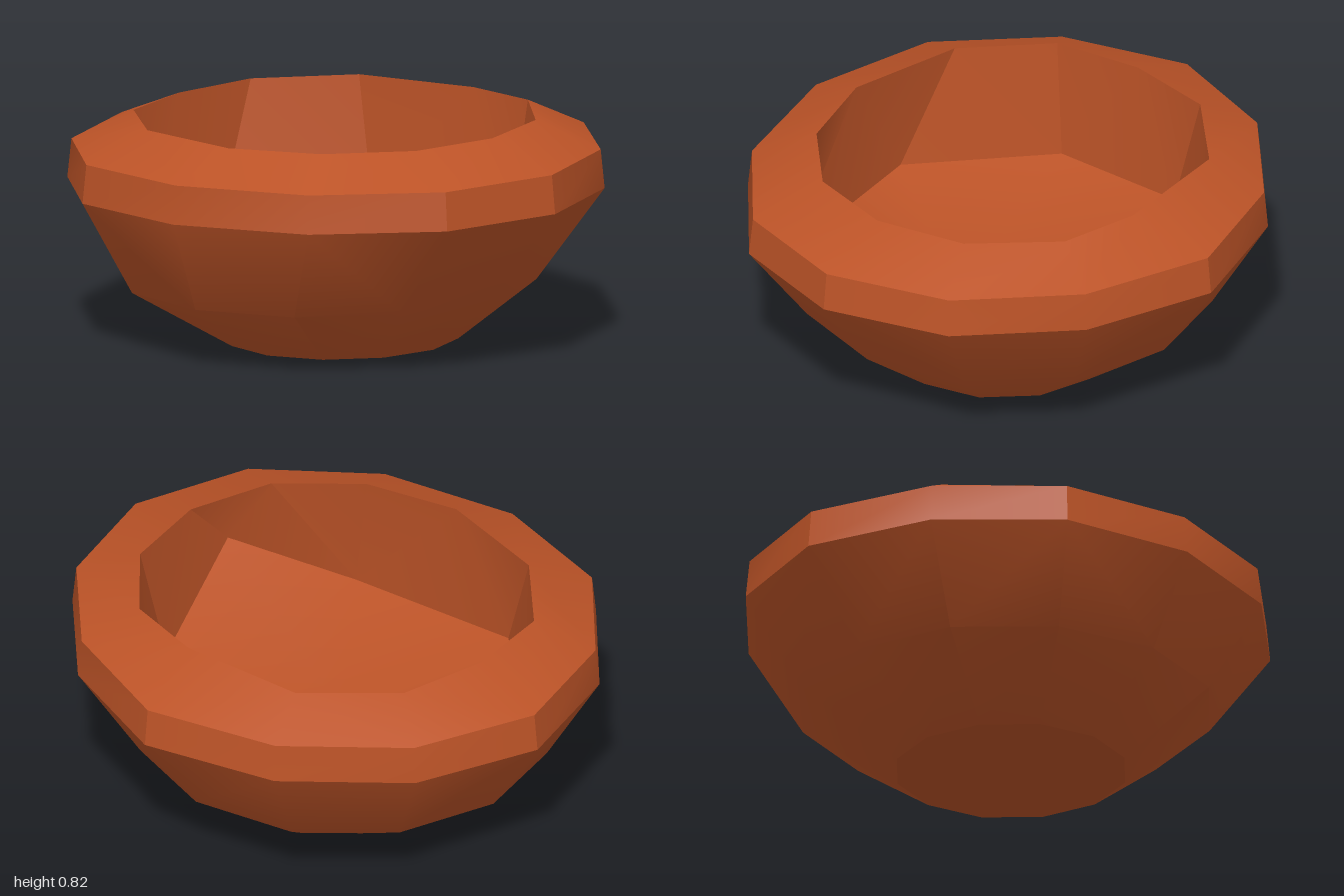
import * as THREE from 'three';
import { toCreasedNormals } from 'three/addons/utils/BufferGeometryUtils.js';

// Slight hand-made tilt: a touch higher towards the back left.
const tilt = (x, z) => 0.012 * x - 0.01 * z;

// Regular ring, ordered by rising angle from +x towards +z.
function circle(r, y, cx, cz, n = 12) {
  return Array.from({ length: n }, (_, i) => {
    const a = (i / n) * Math.PI * 2;
    const x = cx + r * Math.cos(a), z = cz + r * Math.sin(a);
    return [x, y + tilt(x, z), z];
  });
}

// Uneven ring from [x, z] pairs at one height.
const ringAt = (pairs, y, s = 1) =>
  pairs.map(([x, z]) => [x * s, y + tilt(x, z), z * s]);

// Angles of a ring, unwrapped, with the first point repeated at the end.
function angles(ring) {
  const out = [];
  for (let i = 0; i <= ring.length; i++) {
    const [x, , z] = ring[i % ring.length];
    let a = Math.atan2(z, x);
    while (i && a < out[i - 1]) a += Math.PI * 2;
    out.push(a);
  }
  return out;
}

// Triangles between two rings of any size; a single point makes a cap.
function stitch(lower, upper) {
  const n = lower.length > 1 ? lower.length : 0;
  const m = upper.length > 1 ? upper.length : 0;
  const la = angles(lower), ua = angles(upper);
  const L = (i) => lower[i % lower.length], U = (j) => upper[j % upper.length];
  const pos = [];
  let i = 0, j = 0;
  while (i < n || j < m) {
    if (j >= m || (i < n && la[i] + la[i + 1] <= ua[j] + ua[j + 1])) {
      pos.push(...L(i + 1), ...L(i), ...U(j));
      i++;
    } else {
      pos.push(...U(j), ...U(j + 1), ...L(i));
      j++;
    }
  }
  return pos;
}

export function createModel() {
  const group = new THREE.Group();
  const clay = new THREE.MeshStandardMaterial({ color: 0xbc5327 });
  clay.name = 'terracotta';

  function part(name, rings, crease) {
    const pos = [];
    for (let k = 0; k < rings.length - 1; k++) pos.push(...stitch(rings[k], rings[k + 1]));
    let geo = new THREE.BufferGeometry();
    geo.setAttribute('position', new THREE.Float32BufferAttribute(pos, 3));
    geo = toCreasedNormals(geo, crease);
    const mesh = new THREE.Mesh(geo, clay);
    mesh.name = name;
    group.add(mesh);
  }

  // Outer and inner outlines of the rim
  const outer = [[1, 0.01], [0.88, 0.47], [0.51, 0.8], [0, 0.94], [-0.5, 0.84], [-0.85, 0.5],
    [-1, 0.03], [-0.85, -0.44], [-0.49, -0.79], [0, -0.95], [0.49, -0.79], [0.85, -0.45]];
  const inner = [[0.71, 0.01], [0.63, 0.34], [0.39, 0.58], [0.05, 0.69], [-0.39, 0.61], [-0.66, 0.36],
    [-0.72, 0.03], [-0.67, -0.31], [-0.4, -0.59], [0.08, -0.65], [0.38, -0.59], [0.63, -0.33]];

  const base = circle(0.42, 0.005, 0.025, 0.02);
  const belly = circle(0.75, 0.225, -0.02, 0.04);
  const rimLow = ringAt(outer, 0.563);
  const rimHigh = ringAt(outer, 0.703, 0.985);
  const lip = ringAt(inner, 0.805);
  // Rough eight-sided ring where the inner wall meets the hollow floor
  const floor = [[0.73, 0.59, 0.22], [0.48, 0.34, 0.62], [-0.2, 0.36, 0.7], [-0.65, 0.35, 0.33],
    [-0.69, 0.34, -0.17], [-0.34, 0.36, -0.59], [0.3, 0.36, -0.59], [0.655, 0.31, -0.17]];

  part('base', [[[0.025, 0.005, 0.02]], base], 0.5);
  part('body', [base, belly, rimLow], 0.65);
  part('rimBand', [rimLow, rimHigh], 0.5);
  part('rimTop', [rimHigh, lip], 0.6);
  part('innerWall', [lip, floor], 0.5);
  part('innerFloor', [floor, [[0.1, 0.15, 0.16]]], 1);
  return group;
}
